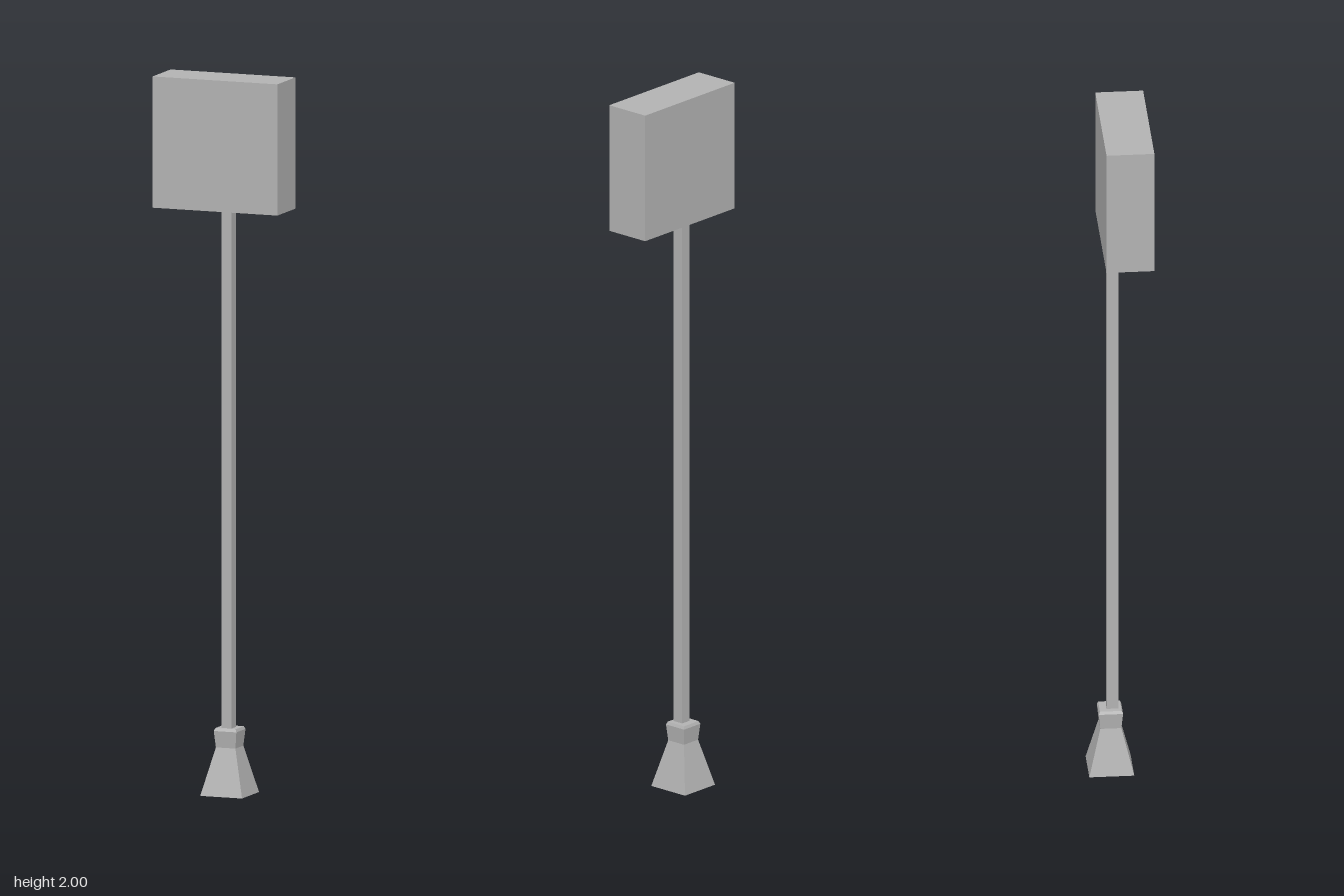
import * as THREE from 'three';

export function createModel() {
  const model = new THREE.Group();
  const grey = new THREE.MeshStandardMaterial({ color: 0xb2b2b2 });
  grey.name = 'grey';

  const add = (name, geometry, x, y, z) => {
    const mesh = new THREE.Mesh(geometry, grey);
    mesh.name = name;
    mesh.position.set(x, y, z);
    model.add(mesh);
  };

  // Square section lofted through [half width, height] pairs, flat faced
  const squareLoft = (profile) => {
    const points = profile.map(([half, y]) => new THREE.Vector2(half * Math.SQRT2, y));
    const geometry = new THREE.LatheGeometry(points, 4, Math.PI / 4).toNonIndexed();
    geometry.computeVertexNormals();
    return geometry;
  };

  // Flared foot with a narrow waist and a chamfered collar, closed at both ends
  add('base', squareLoft([
    [0, 0], [0.062, 0], [0.029, 0.132], [0.0335, 0.178], [0.03, 0.186], [0, 0.186],
  ]), 0, 0, -0.023);

  // Slender square pole
  add('pole', new THREE.BoxGeometry(0.03, 1.46, 0.032), 0, 0.91, -0.017);

  // Sign box, set forward of the pole
  add('signBox', new THREE.BoxGeometry(0.37, 0.365, 0.132), 0, 1.8175, 0.018);

  return model;
}
